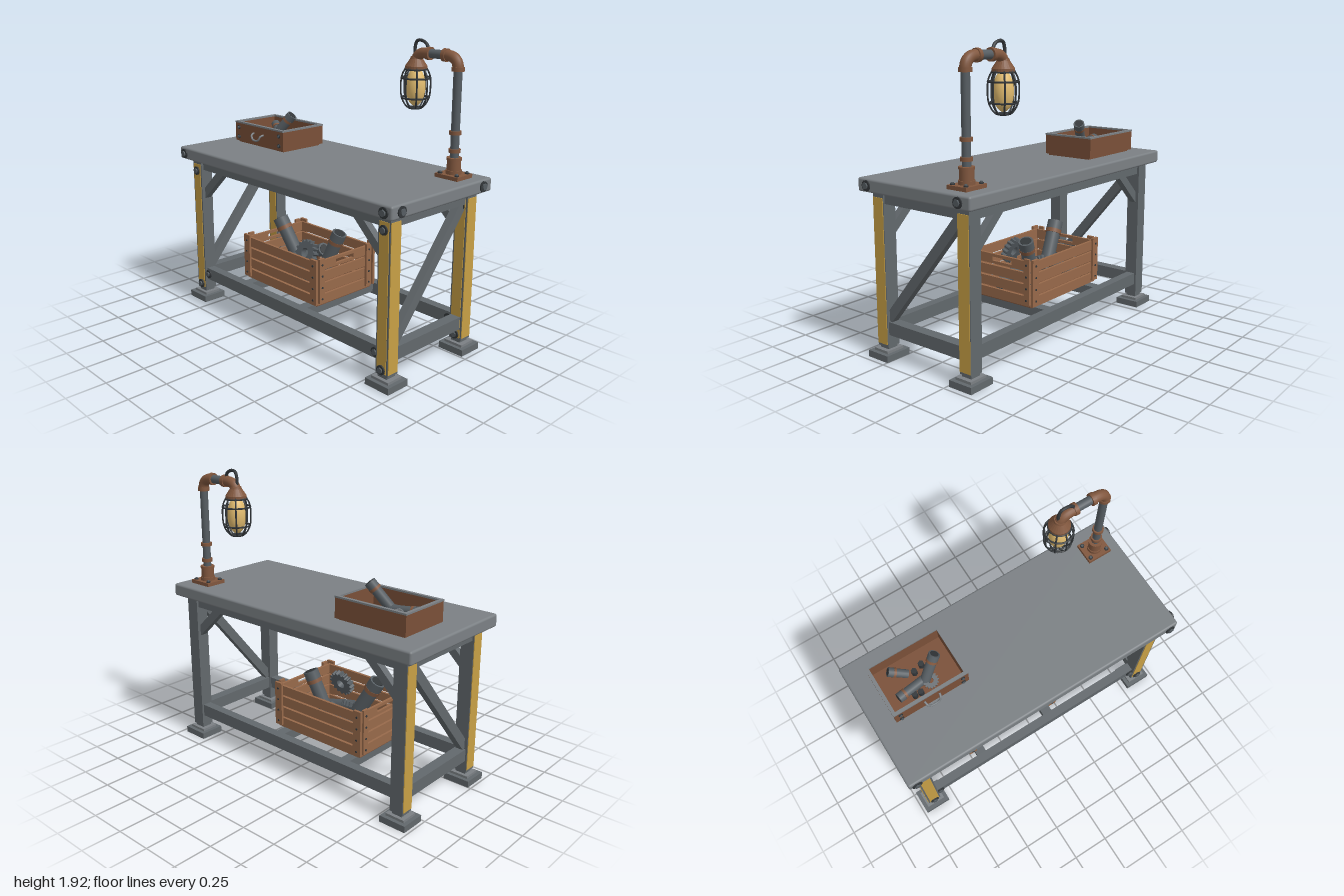
import * as THREE from 'three';
import { RoundedBoxGeometry } from 'three/addons/geometries/RoundedBoxGeometry.js';

const mat = (color, extra = {}) => new THREE.MeshStandardMaterial({ color, ...extra });
const STEEL = mat(0x7b8084), FRAME = mat(0x62686c), IRON = mat(0x33373a), PIPE = mat(0x565d62);
const YELLOW = mat(0xc79f45), WOOD = mat(0x97694a), DARKWOOD = mat(0x7a5038), COPPER = mat(0x81573e);
const BULB = mat(0xe3bd70);
const V = (x, y, z) => new THREE.Vector3(x, y, z);
const UP = V(0, 1, 0);

function add(parent, name, geo, material, x = 0, y = 0, z = 0) {
  const m = new THREE.Mesh(geo, material);
  m.name = name;
  m.position.set(x, y, z);
  parent.add(m);
  return m;
}
// box given by its min and max on each axis
function box(parent, name, material, x0, x1, y0, y1, z0, z1) {
  return add(parent, name, new THREE.BoxGeometry(x1 - x0, y1 - y0, z1 - z0), material,
    (x0 + x1) / 2, (y0 + y1) / 2, (z0 + z1) / 2);
}
// cylinder between two points
function rod(parent, name, material, a, b, r, r2 = r, seg = 16) {
  const d = b.clone().sub(a), mid = a.clone().add(b).multiplyScalar(0.5);
  const m = add(parent, name, new THREE.CylinderGeometry(r2, r, d.length(), seg), material, mid.x, mid.y, mid.z);
  m.quaternion.setFromUnitVectors(UP, d.normalize());
  return m;
}
function group(parent, name) {
  const g = new THREE.Group();
  g.name = name;
  parent.add(g);
  return g;
}
// washer and hexagonal head pointing along dir
function bolt(parent, p, dir, r = 0.033, h = 0.018) {
  const g = group(parent, 'bolt'), at = t => p.clone().addScaledVector(dir, t);
  rod(g, 'washer', IRON, at(-0.004), at(h * 0.5), r, r, 12);
  rod(g, 'boltHead', PIPE, at(0), at(h), r * 0.62, r * 0.62, 6);
}
// flat bar running between two points, with square section turned to face the x or z axis
function brace(parent, name, a, b, width, depth) {
  const d = b.clone().sub(a), mid = a.clone().add(b).multiplyScalar(0.5);
  const alongX = Math.abs(d.x) > 1e-6;
  const geo = new THREE.BoxGeometry(alongX ? width : depth, d.length(), alongX ? depth : width);
  const m = add(parent, name, geo, FRAME, mid.x, mid.y, mid.z);
  m.quaternion.setFromUnitVectors(UP, d.normalize());
}
// loose pipe with a rim at its upper end and a copper ring
function scrapPipe(parent, a, b, r) {
  const g = group(parent, 'loosePipe'), at = t => a.clone().lerp(b, t), len = a.distanceTo(b);
  rod(g, 'pipeBody', PIPE, a, b, r * 0.9);
  rod(g, 'pipeRim', PIPE, at(1 - r * 1.1 / len), at(1 + 0.002 / len), r);
  rod(g, 'pipeBore', IRON, at(1), at(1 + 0.004 / len), r * 0.75);
  rod(g, 'pipeRing', COPPER, at(1 - r * 1.6 / len), at(1 - r * 1.1 / len), r * 1.03);
}
function gear(parent, r, depth, x, y, z, rx, rz) {
  const s = new THREE.Shape(), n = 16;
  for (let i = 0; i < n * 4; i++) {
    const a = i / (n * 4) * Math.PI * 2, q = i % 4 < 2 ? r : r * 0.84;
    s[i ? 'lineTo' : 'moveTo'](Math.cos(a) * q, Math.sin(a) * q);
  }
  s.holes.push(new THREE.Path().absarc(0, 0, r * 0.35, 0, Math.PI * 2, true));
  const m = add(parent, 'gear', new THREE.ExtrudeGeometry(s, { depth, bevelEnabled: false }), PIPE, x, y, z);
  m.rotation.set(rx, 0, rz);
}

function buildTable(root) {
  const t = group(root, 'table');
  add(t, 'tableTop', new RoundedBoxGeometry(1.982, 0.083, 0.885, 2, 0.014), STEEL, -0.009, 1.077, -0.008);
  for (const x of [-0.945, 0.925]) bolt(t, V(x, 1.075, 0.434), V(0, 0, 1));
  for (const z of [0.357, -0.365]) bolt(t, V(0.981, 1.077, z), V(1, 0, 0));
  for (const [x, out] of [[-0.89, -1], [0.875, 1]]) {
    for (const z of [0.33, -0.345]) {
      // foot and leg
      const leg = group(t, 'leg');
      box(leg, 'footPlate', FRAME, x - 0.091, x + 0.091, 0, 0.042, z - 0.083, z + 0.083);
      box(leg, 'footStep', STEEL, x - 0.065, x + 0.065, 0.042, 0.058, z - 0.058, z + 0.058);
      box(leg, 'footNeck', FRAME, x - 0.035, x + 0.035, 0.058, 0.09, z - 0.035, z + 0.035);
      box(leg, 'legPost', FRAME, x - 0.046, x + 0.046, 0.075, 1.037, z - 0.044, z + 0.042);
      box(leg, 'frontPanel', YELLOW, x - 0.035, x + 0.035, 0.09, 1, z + 0.04, z + 0.046);
      const px = x + out * 0.047;
      box(leg, 'sidePanel', YELLOW, px - 0.003, px + 0.003, 0.09, 1, z - 0.04, z + 0.04);
      for (const y of [0.953, 0.112]) bolt(leg, V(x, y, z + 0.046), V(0, 0, 1), 0.03);
    }
    // end rails and their diagonal
    box(t, 'endApron', FRAME, x - 0.035, x + 0.035, 0.965, 1.037, -0.305, 0.29);
    box(t, 'endRail', FRAME, x - 0.035, x + 0.035, 0.153, 0.235, -0.305, 0.29);
    brace(t, 'endDiagonal', V(x, 0.25, 0.295), V(x, 0.965, -0.295), 0.062, 0.05);
  }
  for (const z of [0.325, -0.345]) {
    box(t, 'longApron', FRAME, -0.85, 0.835, 0.963, 1.037, z - 0.03, z + 0.03);
    box(t, 'longRail', FRAME, -0.85, 0.835, 0.153, 0.235, z - 0.03, z + 0.03);
    brace(t, 'cornerBrace', V(-0.865, 0.775, z), V(-0.615, 1.01, z), 0.055, 0.045);
    brace(t, 'cornerBrace', V(0.85, 0.775, z), V(0.6, 1.01, z), 0.055, 0.045);
    for (const x of [-0.825, 0.81]) bolt(t, V(x, 0.195, z + 0.03), V(0, 0, 1), 0.03);
  }
  for (const x of [-0.44, 0.12]) box(t, 'crossRail', FRAME, x - 0.035, x + 0.035, 0.17, 0.233, -0.32, 0.3);
}

function buildCrate(root) {
  const c = group(root, 'crate');
  box(c, 'crateFloor', DARKWOOD, -0.5, 0.19, 0.236, 0.256, -0.245, 0.24);
  for (let i = 0; i < 4; i++) {
    const y = 0.242 + i * 0.077, y1 = y + 0.064;
    for (const z of [0.242, -0.247]) box(c, 'longSlat', WOOD, -0.5, 0.19, y, y1, z - 0.009, z + 0.009);
    for (const x of [-0.494, 0.184]) {
      // end slats, with a hand slot in the top one
      const s = new THREE.Shape([[-0.235, 0], [0.235, 0], [0.235, 0.064], [-0.235, 0.064]].map(p => new THREE.Vector2(...p)));
      if (i === 3) s.holes.push(new THREE.Path([[-0.08, 0.018], [-0.08, 0.045], [0.08, 0.045], [0.08, 0.018]].map(p => new THREE.Vector2(...p))));
      const m = add(c, 'endSlat', new THREE.ExtrudeGeometry(s, { depth: 0.018, bevelEnabled: false }), WOOD, x - 0.009, y, -0.0025);
      m.rotation.y = Math.PI / 2;
    }
  }
  // corner battens with nails
  for (const sx of [-1, 1]) for (const sz of [-1, 1]) {
    const x = -0.155 + sx * 0.335, z = -0.0025 + sz * 0.259, ex = -0.155 + sx * 0.355, ez = -0.0025 + sz * 0.212;
    box(c, 'sideBatten', WOOD, x - 0.029, x + 0.029, 0.256, 0.556, z - 0.009, z + 0.009);
    box(c, 'endBatten', WOOD, ex - 0.009, ex + 0.009, 0.256, 0.556, ez - 0.022, ez + 0.022);
    for (let i = 0; i < 4; i++) {
      const y = 0.285 + i * 0.077;
      rod(c, 'nail', IRON, V(x, y, z), V(x, y, z + sz * 0.013), 0.007, 0.007, 8);
      rod(c, 'nail', IRON, V(ex, y, ez), V(ex + sx * 0.013, y, ez), 0.007, 0.007, 8);
    }
  }
  // loose parts
  scrapPipe(c, V(-0.25, 0.34, -0.02), V(-0.42, 0.64, 0.02), 0.053);
  scrapPipe(c, V(-0.07, 0.31, -0.05), V(0.055, 0.618, -0.09), 0.05);
  scrapPipe(c, V(0.1, 0.3, 0.1), V(-0.25, 0.38, 0.12), 0.045);
  scrapPipe(c, V(-0.42, 0.3, -0.15), V(-0.15, 0.44, -0.14), 0.045);
  gear(c, 0.09, 0.04, -0.05, 0.495, 0.09, -0.35, 0.1);
  gear(c, 0.07, 0.03, -0.2, 0.4, 0.03, -1.2, 0);
}

function buildDrawer(root) {
  const d = group(root, 'drawer'), x0 = -0.86, x1 = -0.345, z0 = -0.31, z1 = 0.052, w = 0.018;
  box(d, 'drawerFloor', DARKWOOD, -0.84, -0.36, 1.117, 1.14, -0.29, 0.035);
  for (const [a, b, c, e] of [[x0, x1, z1 - w, z1], [x0, x1, z0, z0 + w], [x0, x0 + w, z0 + w, z1 - w], [x1 - w, x1, z0 + w, z1 - w]]) {
    box(d, 'drawerWall', DARKWOOD, a, b, 1.13, 1.258, c, e);
    box(d, 'drawerRim', STEEL, a - 0.002, b + 0.002, 1.257, 1.268, c - 0.002, e + 0.002);
  }
  for (const x of [-0.82, -0.385]) for (const y of [1.16, 1.227]) bolt(d, V(x, y, z1), V(0, 0, 1), 0.014, 0.012);
  const path = new THREE.CatmullRomCurve3([V(-0.655, 1.208, z1), V(-0.65, 1.2, 0.075), V(-0.635, 1.175, 0.083),
    V(-0.603, 1.167, 0.085), V(-0.571, 1.175, 0.083), V(-0.556, 1.2, 0.075), V(-0.551, 1.208, z1)]);
  add(d, 'drawerHandle', new THREE.TubeGeometry(path, 24, 0.007, 8), STEEL);
  // loose parts
  scrapPipe(d, V(-0.59, 1.17, -0.07), V(-0.465, 1.335, -0.135), 0.036);
  scrapPipe(d, V(-0.58, 1.18, -0.085), V(-0.775, 1.195, -0.055), 0.033);
  scrapPipe(d, V(-0.65, 1.17, -0.17), V(-0.75, 1.225, -0.225), 0.03);
  gear(d, 0.052, 0.02, -0.555, 1.18, -0.055, -1.3, 0);
  for (const [x, z] of [[-0.55, -0.18], [-0.61, -0.16], [-0.68, -0.03], [-0.64, -0.025]])
    rod(d, 'looseNut', IRON, V(x, 1.14, z), V(x, 1.19, z), 0.02, 0.02, 6);
}

function buildLamp(root) {
  const l = group(root, 'lamp'), X = 0.822, L = 0.508, Z = -0.285, H = 1.833;
  // flange and post
  box(l, 'flange', COPPER, X - 0.084, X + 0.084, 1.117, 1.142, Z - 0.072, Z + 0.072);
  for (const sx of [-1, 1]) for (const sz of [-1, 1]) bolt(l, V(X + sx * 0.062, 1.142, Z + sz * 0.05), UP, 0.014, 0.014);
  const sleeve = (y0, y1, r, m = COPPER, x = X) => rod(l, 'sleeve', m, V(x, y0, Z), V(x, y1, Z), r, r, 20);
  sleeve(1.14, 1.235, 0.042);
  sleeve(1.14, 1.165, 0.048);
  sleeve(1.225, 1.24, 0.046);
  sleeve(1.27, 1.292, 0.036);
  sleeve(1.378, 1.4, 0.036);
  sleeve(1.14, 1.77, 0.026, PIPE);
  sleeve(1.748, 1.772, 0.038);
  // elbows and arm
  const elbow = pts => add(l, 'elbow', new THREE.TubeGeometry(new THREE.QuadraticBezierCurve3(...pts), 16, 0.033, 16), COPPER);
  elbow([V(X, 1.76, Z), V(X, H, Z), V(0.735, H, Z)]);
  elbow([V(0.6, H, Z), V(L, H + 0.005, Z), V(L, 1.775, Z)]);
  const arm = (a, b, r, m) => rod(l, 'arm', m, V(a, H, Z), V(b, H, Z), r, r, 20);
  arm(0.6, 0.74, 0.027, PIPE);
  arm(0.716, 0.742, 0.039, COPPER);
  arm(0.594, 0.62, 0.039, COPPER);
  // cap
  const cap = [[0, 1.808], [0.034, 1.808], [0.038, 1.795], [0.058, 1.765], [0.067, 1.752], [0.067, 1.735], [0, 1.735]];
  add(l, 'lampCap', new THREE.LatheGeometry(cap.map(p => new THREE.Vector2(...p)).reverse(), 24), mat(0x81573e, { side: THREE.DoubleSide, flatShading: true }), L, 0, Z);
  // bulb
  const bulb = add(l, 'bulb', new THREE.SphereGeometry(0.06, 20, 16), BULB, L, 1.625, Z);
  bulb.scale.y = 1.95;
  // cage
  const rib = new THREE.CatmullRomCurve3([[0.06, 1.745], [0.084, 1.695], [0.09, 1.62], [0.08, 1.55], [0.045, 1.5], [0, 1.49]].map(p => V(p[0], p[1], 0)));
  const ribGeo = new THREE.TubeGeometry(rib, 20, 0.0055, 6);
  for (let i = 0; i < 8; i++) add(l, 'cageRib', ribGeo, IRON, L, 0, Z).rotation.y = i * Math.PI / 4;
  for (const [r, y] of [[0.067, 1.732], [0.088, 1.68], [0.083, 1.56], [0.04, 1.498]])
    add(l, 'cageRing', new THREE.TorusGeometry(r, 0.006, 6, 32), IRON, L, y, Z).rotation.x = Math.PI / 2;
  // cable
  const cable = new THREE.CatmullRomCurve3([V(L - 0.012, 1.8, Z), V(L - 0.012, 1.865, Z), V(0.51, 1.9, Z), V(0.54, 1.906, Z), V(0.58, 1.89, Z), V(0.607, 1.845, Z)]);
  add(l, 'cable', new THREE.TubeGeometry(cable, 28, 0.01, 8), IRON);
}

export function createModel() {
  const root = new THREE.Group();
  root.name = 'workbench';
  buildTable(root);
  buildCrate(root);
  buildDrawer(root);
  buildLamp(root);
  return root;
}
